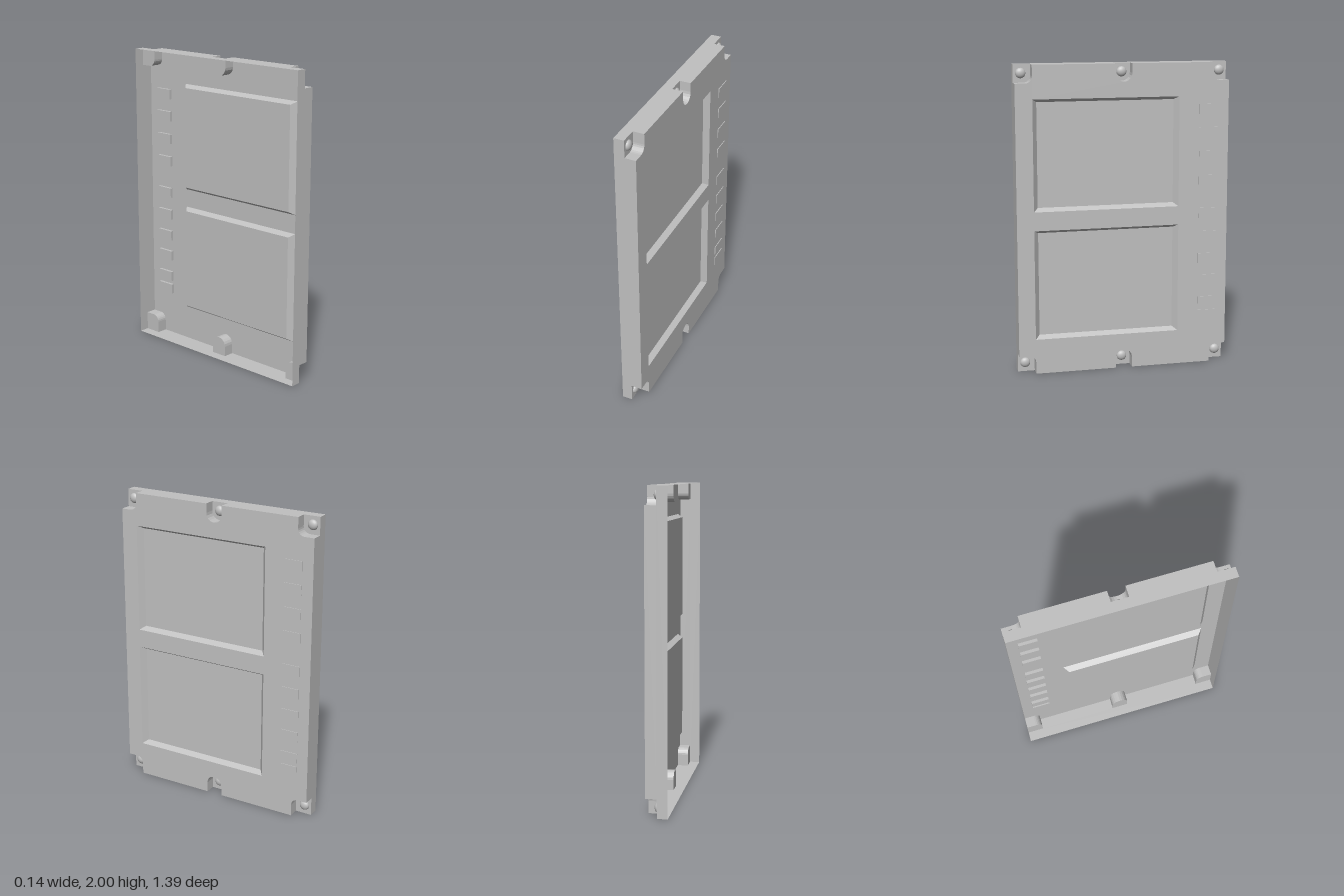
import * as THREE from 'three';

// Panel dimensions; the parts are drawn flat (x across, y up, z outwards) and then turned to face +x
const W = 0.695, H = 2, BACK = -0.072, SEAT = -0.005, FACE = 0.067;
const grey = new THREE.MeshStandardMaterial({ color: 0xc0c0c0, side: THREE.DoubleSide });
grey.name = 'light grey';

const rect = (x0, y0, x1, y1) => [[x0, y0], [x1, y0], [x1, y1], [x0, y1]];
const toShape = pts => new THREE.Shape(pts.map(p => new THREE.Vector2(...p)));

// Strip of flat quads joining two matching outlines
function loft(a, za, b, zb) {
  const v = [];
  a.forEach((p, i) => {
    const j = (i + 1) % a.length;
    const p0 = [...p, za], p1 = [...a[j], za], q0 = [...b[i], zb], q1 = [...b[j], zb];
    v.push(...p0, ...p1, ...q1, ...p0, ...q1, ...q0);
  });
  const g = new THREE.BufferGeometry();
  g.setAttribute('position', new THREE.Float32BufferAttribute(v, 3));
  g.computeVertexNormals();
  return g;
}

function arc(cx, cy, r, from, to, steps = 6) {
  const pts = [];
  for (let i = 0; i <= steps; i++) {
    const t = THREE.MathUtils.degToRad(from + (to - from) * i / steps);
    pts.push([cx + r * Math.cos(t), cy + r * Math.sin(t)]);
  }
  return pts;
}

// Three screw pockets along one edge, left to right
function pocketRow(h) {
  const w = 0.11, r = 0.045, m = 0.055;
  const left = [[-W, h], ...arc(-W + w - r, h - r, r, 90, 0), [-W + w, 0]];
  const middle = [[-m, 0], ...arc(0, h - m, m, 180, 0, 10), [m, 0]];
  const right = left.map(([x, y]) => [-x, y]).reverse();
  return [left, middle, right];
}

export function createModel() {
  const model = new THREE.Group();
  model.name = 'equipmentPanel';
  const panel = new THREE.Group();
  panel.name = 'panel';
  panel.rotation.y = Math.PI / 2;
  model.add(panel);
  const add = (name, geometry, x = 0, y = 0, z = 0) => {
    const mesh = new THREE.Mesh(geometry, grey);
    mesh.name = name;
    mesh.position.set(x, y, z);
    panel.add(mesh);
    return mesh;
  };

  // Notched outline of the front plate
  const bottom = pocketRow(0.122);
  const top = pocketRow(0.115).map(row => row.map(([x, y]) => [x, H - y]));
  const outline = [...bottom.flat(), ...top.flat().reverse()];

  // Two shallow sunken wells: opening and floor rectangles
  const wells = [[1.07, 1.785], [0.23, 0.948]].map(([y0, y1]) => ({
    opening: rect(-0.585, y0, 0.365, y1),
    floor: rect(-0.555, y0 + 0.022, 0.335, y1 - 0.02),
  }));

  const face = toShape(outline);
  face.holes = wells.map(w => new THREE.Path(w.opening.map(p => new THREE.Vector2(...p))));
  add('frontPlate', new THREE.ShapeGeometry(face), 0, 0, FACE);

  for (const w of wells) {
    const depth = FACE - 0.036;
    add('wellSides', loft(w.floor, depth, w.opening, FACE));
    add('wellFloor', new THREE.ShapeGeometry(toShape(w.floor)), 0, 0, depth);
  }

  // Thin rim, open at the back; its front half follows the pockets
  const full = rect(-W, 0, W, H);
  add('rearRim', loft(full, BACK, full, SEAT));
  add('frontRim', loft(outline, SEAT, outline, FACE));

  // Pocket floors with a domed screw in each
  const dome = new THREE.SphereGeometry(0.033, 16, 6, 0, Math.PI * 2, 0, Math.PI / 2);
  dome.rotateX(Math.PI / 2);
  dome.scale(1, 1, 0.65);
  [[bottom, 0, 0.06], [top, H, H - 0.055]].forEach(([row, edge, screwY]) => {
    row.forEach((pts, i) => {
      const side = i - 1;
      const floor = side ? [...pts, [side * W, edge]] : pts;
      add('pocketFloor', new THREE.ShapeGeometry(toShape(floor)), 0, 0, SEAT);
      add('screw', dome, side * 0.647, screwY, SEAT);
    });
  });

  // Column of small raised tabs beside the wells
  const tab = new THREE.BoxGeometry(0.12, 0.066, 0.024);
  for (const y of [1.7, 1.55, 1.395, 1.24, 1.02, 0.865, 0.715, 0.57, 0.42, 0.328])
    add('raisedTab', tab, 0.56, y, 0.06);

  return model;
}
